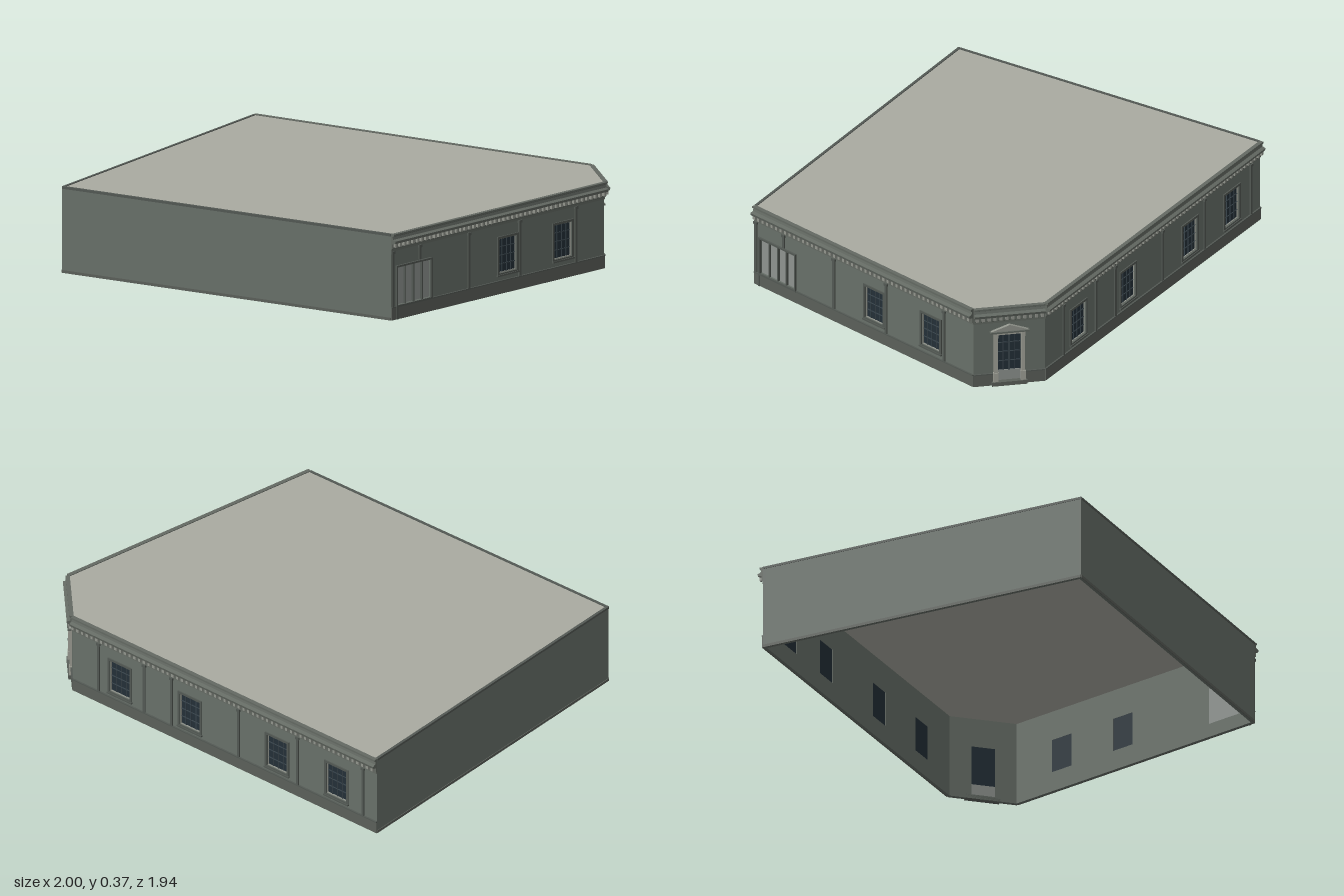
import * as THREE from 'three';

const paint = color => new THREE.MeshStandardMaterial({ color, flatShading: true, side: THREE.DoubleSide });
const roofMat = paint(0xa9aaa1), wallMat = paint(0x687069), plinthMat = paint(0x5b605a), trimMat = paint(0x535954);
const corniceMat = paint(0x636962), bracketMat = paint(0x92958d), shopMat = paint(0x8f9490), stoneMat = paint(0xa3a49a);
const glassMat = paint(0x232f38), barMat = paint(0x3a464d);

const H = 0.365, T = 0.012;
// Footprint corners (x, z)
const A = [-0.992, -0.455], B = [0.59, -0.945], C = [0.852, -0.797], D = [0.974, 0.473], E = [-0.55, 0.97];

function add(parent, name, geo, mat) {
  const m = new THREE.Mesh(geo, mat);
  m.name = name;
  parent.add(m);
  return m;
}

// Box given by its extents in wall space (x along, y up, z outward)
function block(parent, name, mat, x0, x1, y0, y1, z0, z1) {
  const m = add(parent, name, new THREE.BoxGeometry(x1 - x0, y1 - y0, z1 - z0), mat);
  m.position.set((x0 + x1) / 2, (y0 + y1) / 2, (z0 + z1) / 2);
}

// Rectangular surround as four bars, outside the given opening
function surround(g, name, mat, [x0, x1, y0, y1], w, z0, z1) {
  block(g, name, mat, x0 - w, x0, y0, y1 + w, z0, z1);
  block(g, name, mat, x1, x1 + w, y0, y1 + w, z0, z1);
  block(g, name, mat, x0, x1, y1, y1 + w, z0, z1);
  block(g, name, mat, x0 - w, x1 + w, y0 - w, y0, z0, z1);
}

// Evenly spaced glazing bars across an opening
function bars(g, mat, [x0, x1, y0, y1], cols, rows, w, z0, z1) {
  for (let i = 1; i < cols; i++) {
    const x = x0 + (x1 - x0) * i / cols;
    block(g, 'mullion', mat, x - w / 2, x + w / 2, y0, y1, z0, z1);
  }
  for (let j = 1; j < rows; j++) {
    const y = y0 + (y1 - y0) * j / rows;
    block(g, 'transom', mat, x0, x1, y - w / 2, y + w / 2, z0, z1);
  }
}

// Wall running left to right as seen from outside, with rectangular openings
function wall(parent, name, P, Q, openings = []) {
  const g = new THREE.Group();
  const dx = Q[0] - P[0], dz = Q[1] - P[1], L = Math.hypot(dx, dz);
  g.name = name;
  g.position.set(P[0], 0, P[1]);
  g.rotation.y = Math.atan2(-dz, dx);
  parent.add(g);
  const s = new THREE.Shape([[0, 0], [L, 0], [L, H], [0, H]].map(p => new THREE.Vector2(...p)));
  for (const [x0, x1, y0, y1] of openings)
    s.holes.push(new THREE.Path([[x0, y0], [x0, y1], [x1, y1], [x1, y0]].map(p => new THREE.Vector2(...p))));
  const geo = new THREE.ExtrudeGeometry(s, { depth: T, bevelEnabled: false });
  geo.translate(0, 0, -T);
  add(g, name + 'Panel', geo, wallMat);
  return { g, L };
}

// Stepped cornice with a row of brackets beneath it
function cornice(g, L) {
  const profile = [[0, 0.295], [0.004, 0.295], [0.004, 0.304], [0.008, 0.307], [0.008, 0.327], [0.024, 0.331],
    [0.027, 0.342], [0.012, 0.347], [0.009, 0.358], [0.016, 0.362], [0.016, 0.37], [-0.002, 0.37], [-0.002, 0.36]];
  const s = new THREE.Shape(profile.map(([o, y]) => new THREE.Vector2(-o, y)));
  const geo = new THREE.ExtrudeGeometry(s, { depth: L, bevelEnabled: false });
  geo.rotateY(Math.PI / 2);
  add(g, 'cornice', geo, corniceMat);
  const n = Math.round(L / 0.026);
  for (let i = 0; i < n; i++) {
    const x = (i + 0.5) * L / n;
    block(g, 'bracket', bracketMat, x - 0.006, x + 0.006, 0.313, 0.33, 0.005, 0.02);
  }
}

function plinth(g, a, b) {
  block(g, 'plinth', plinthMat, a, b, 0, 0.052, 0, 0.005);
  block(g, 'plinthCap', trimMat, a, b, 0.052, 0.057, 0, 0.007);
}

function pilaster(g, x, y0 = 0.057) {
  block(g, 'pilaster', trimMat, x - 0.006, x + 0.006, y0, 0.295, 0, 0.006);
  block(g, 'pilasterCapital', trimMat, x - 0.009, x + 0.009, 0.284, 0.296, 0, 0.009);
}

function windowUnit(g, o) {
  const [x0, x1, y0, y1] = o;
  block(g, 'windowGlass', glassMat, x0, x1, y0, y1, -0.011, -0.008);
  surround(g, 'windowFrame', trimMat, o, 0.01, 0, 0.005);
  surround(g, 'windowSash', bracketMat, [x0 + 0.003, x1 - 0.003, y0 + 0.003, y1 - 0.003], 0.003, -0.009, -0.003);
  bars(g, barMat, o, 4, 4, 0.003, -0.009, -0.005);
  block(g, 'windowSill', trimMat, x0 - 0.012, x1 + 0.012, y0 - 0.013, y0 - 0.006, 0, 0.009);
}

export function createModel() {
  const model = new THREE.Group();
  model.name = 'cornerBuilding';

  // Flat roof just below the parapet, open underneath
  const roof = new THREE.ShapeGeometry(new THREE.Shape([A, E, D, C, B].map(([x, z]) => new THREE.Vector2(x, -z))));
  roof.rotateX(-Math.PI / 2);
  add(model, 'roof', roof, roofMat).position.y = 0.367;

  // Plain party walls with a low base strip and parapet edge
  for (const [name, P, Q] of [['sideWall', A, E], ['frontWall', E, D]]) {
    const { g, L } = wall(model, name, P, Q);
    block(g, 'baseStrip', plinthMat, 0, L, 0, 0.012, 0, 0.003);
    block(g, 'parapetEdge', trimMat, 0, L, 0.36, 0.37, -0.01, 0.002);
  }

  // Street facade with a shop front and two windows
  const shop = [0.035, 0.235, 0.06, 0.222];
  const streetWindows = [0.645, 0.975].map(x => [x, x + 0.105, 0.088, 0.235]);
  const street = wall(model, 'streetWall', D, C, [shop, ...streetWindows]);
  cornice(street.g, street.L);
  plinth(street.g, 0, street.L);
  streetWindows.forEach(o => windowUnit(street.g, o));
  [0.008, 0.463, 0.768, 1.105].forEach(x => pilaster(street.g, x));
  pilaster(street.g, 0.17, 0.232);
  block(street.g, 'shopPanel', shopMat, ...shop, -0.011, -0.008);
  surround(street.g, 'shopFrame', trimMat, shop, 0.008, 0, 0.008);
  bars(street.g, trimMat, shop, 4, 1, 0.005, -0.009, 0.003);
  block(street.g, 'shopJamb', trimMat, 0.027, 0.035, 0, 0.06, 0, 0.009);

  // Long facade with four windows
  const longLength = Math.hypot(A[0] - B[0], A[1] - B[1]);
  const longWindows = [0.155, 0.385, 0.672, 0.867].map(f => {
    const x = f * longLength;
    return [x - 0.055, x + 0.055, 0.082, 0.235];
  });
  const long = wall(model, 'longWall', B, A, longWindows);
  cornice(long.g, long.L);
  plinth(long.g, 0, long.L);
  longWindows.forEach(o => windowUnit(long.g, o));
  [0.085, 0.235, 0.325, 0.545, 0.74, 0.955].forEach(f => pilaster(long.g, f * long.L));

  // Chamfered corner with the entrance
  const m = Math.hypot(C[0] - B[0], C[1] - B[1]) / 2;
  const { g, L } = wall(model, 'cornerWall', C, B, [[m - 0.05, m + 0.05, 0.018, 0.238]]);
  const light = [m - 0.05, m + 0.05, 0.065, 0.238];
  cornice(g, L);
  plinth(g, 0, m - 0.07);
  plinth(g, m + 0.07, L);
  block(g, 'doorGlass', glassMat, ...light, -0.011, -0.008);
  block(g, 'doorPanel', shopMat, m - 0.05, m + 0.05, 0.018, 0.065, -0.011, -0.005);
  bars(g, barMat, light, 2, 1, 0.008, -0.009, -0.003);
  bars(g, barMat, light, 4, 4, 0.003, -0.009, -0.005);
  block(g, 'doorStep', plinthMat, m - 0.075, m + 0.075, 0, 0.018, -T, 0.016);
  for (const k of [-1, 1]) {
    const x = m + k * 0.058;
    block(g, 'doorColumn', stoneMat, x - 0.008, x + 0.008, 0.018, 0.248, 0, 0.01);
    block(g, 'doorColumnBase', stoneMat, x - 0.011, x + 0.011, 0.018, 0.06, 0, 0.012);
    block(g, 'doorBracket', stoneMat, x - 0.009, x + 0.009, 0.228, 0.25, 0, 0.016);
  }
  block(g, 'doorLintel', stoneMat, m - 0.066, m + 0.066, 0.238, 0.25, 0, 0.009);
  block(g, 'doorHood', corniceMat, m - 0.083, m + 0.083, 0.25, 0.257, 0, 0.02);
  const gable = new THREE.Shape([[m - 0.078, 0.257], [m + 0.078, 0.257], [m, 0.285]].map(p => new THREE.Vector2(...p)));
  add(g, 'doorPediment', new THREE.ExtrudeGeometry(gable, { depth: 0.014, bevelEnabled: false }), bracketMat);

  return model;
}
